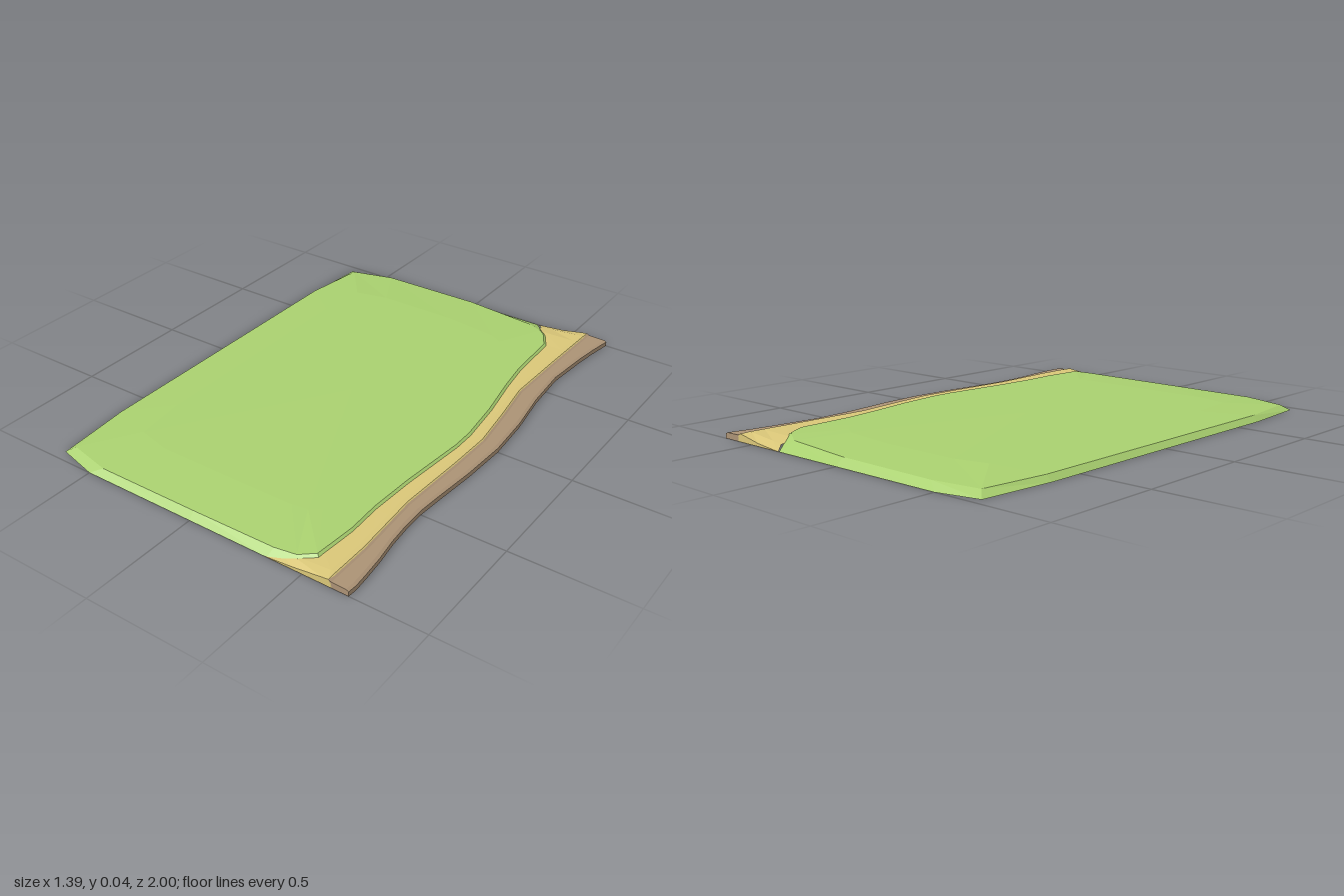
import * as THREE from 'three';

// Open sheet through rows of [x, y, z] points with equal point counts
function loft(name, color, rows) {
  const n = rows[0].length;
  const index = [];
  for (let r = 0; r < rows.length - 1; r++) {
    for (let c = 0; c < n - 1; c++) {
      const a = r * n + c, b = a + n;
      index.push(a, b, b + 1, a, b + 1, a + 1);
    }
  }
  const geo = new THREE.BufferGeometry();
  geo.setAttribute('position', new THREE.Float32BufferAttribute(rows.flat(2), 3));
  geo.setIndex(index);
  const flat = geo.toNonIndexed();
  flat.computeVertexNormals();
  const mesh = new THREE.Mesh(flat, new THREE.MeshStandardMaterial({
    color, flatShading: true, side: THREE.DoubleSide }));
  mesh.name = name;
  return mesh;
}

// Linear look-up of x in a table of [z, x]
function at(table, z) {
  let i = 0;
  while (i < table.length - 2 && z > table[i + 1][0]) i++;
  const [z0, x0] = table[i], [z1, x1] = table[i + 1];
  return x0 + (x1 - x0) * (z - z0) / (z1 - z0);
}

// Winding borders as [z, x]: grass to sand, sand to path, outer edge of the path
const grassEdge = [[-0.9, 0.41], [-0.88, 0.435], [-0.8, 0.48], [-0.55, 0.49], [-0.4, 0.51],
  [-0.2, 0.545], [0, 0.567], [0.1, 0.567], [0.4, 0.54], [0.6, 0.53], [0.75, 0.535], [0.93, 0.52]];
const sandEdge = [[-1, 0.575], [-0.7, 0.566], [-0.4, 0.56], [-0.2, 0.59], [0, 0.615], [0.2, 0.61],
  [0.5, 0.595], [0.8, 0.612], [1, 0.61]];
const pathEdge = [[-1, 0.67], [-0.85, 0.645], [-0.6, 0.625], [-0.4, 0.64], [-0.2, 0.67], [0, 0.685],
  [0.2, 0.677], [0.4, 0.66], [0.5, 0.653], [0.65, 0.657], [0.8, 0.68], [0.95, 0.695], [1, 0.692]];

const steps = [-1, -0.96];
for (let i = -9; i <= 9; i++) steps.push(i / 10);
steps.push(0.96, 1);

function makeGrass() {
  // Each entry: foot x, z, y, then rim x, z, y, counter-clockwise from the left
  const rim = [
    [-0.7, 0.65, 0, -0.675, 0.65, 0.023],
    [-0.675, 0.955, 0, -0.64, 0.93, 0.022],
    [-0.5, 1, 0, -0.45, 0.975, 0.026],
    [0, 1, 0, 0, 0.975, 0.028],
    [0.35, 1, 0, 0.36, 0.972, 0.03],
    [0.47, 0.975, 0.014, 0.45, 0.96, 0.033],
  ];
  for (const [z, x] of [...grassEdge].reverse()) rim.push([x, z, 0.028, x - 0.012, z * 0.99, 0.04]);
  rim.push(
    [0.33, -1, 0, 0.33, -0.93, 0.032],
    [0, -1, 0, 0, -0.968, 0.03],
    [-0.5, -1, 0, -0.45, -0.968, 0.027],
    [-0.675, -0.96, 0, -0.64, -0.925, 0.022],
    [-0.7, -0.65, 0, -0.675, -0.65, 0.023],
  );
  rim.push(rim[0]);
  return loft('grass', 0xa9d06f, [
    rim.map(() => [0, 0.043, 0]),
    rim.map((p) => [p[3] * 0.75, 0.041, p[4] * 0.78]),
    rim.map((p) => [p[3], p[5], p[4]]),
    rim.map((p) => [p[0], p[2], p[1]]),
  ]);
}

// Sand bank: tucked under the grass, stepping down to the path
const sandRow = (z) => {
  const s = at(sandEdge, z);
  if (Math.abs(z) === 1) {
    return [[0.335, 0, z], [0.46, 0.012, z], [s - 0.025, 0.029, z], [s, 0.032, z], [s + 0.012, 0.022, z]];
  }
  const end = Math.abs(z) > 0.95;
  const g = end ? 0.42 : at(grassEdge, z);
  return [[g - 0.05, end ? 0.015 : 0.026, z], [g, end ? 0.022 : 0.032, z],
    [s - 0.02, 0.035, z], [s, 0.034, z], [s + 0.012, 0.022, z]];
};

// Path: low strip with a rounded outer edge
const pathRow = (z) => {
  const s = at(sandEdge, z), p = at(pathEdge, z);
  return [[s, 0.032, z], [s + 0.012, 0.026, z], [p - 0.012, 0.025, z], [p, 0.02, z], [p, 0, z]];
};

// Upright wall closing a strip at the front or back end
function endWall(name, color, row) {
  const foot = row.map(([x, , z]) => [x, 0, z]);
  return loft(name, color, row[0][2] > 0 ? [row, foot] : [foot, row]);
}

export function createModel() {
  const model = new THREE.Group();
  model.name = 'groundTile';
  const sand = 0xd9c678, path = 0xab9275;
  model.add(makeGrass());
  model.add(loft('sandBank', sand, steps.map(sandRow)));
  model.add(loft('path', path, steps.map(pathRow)));
  for (const z of [-1, 1]) {
    model.add(endWall('sandEnd', sand, sandRow(z)));
    model.add(endWall('pathEnd', path, pathRow(z)));
  }
  return model;
}
